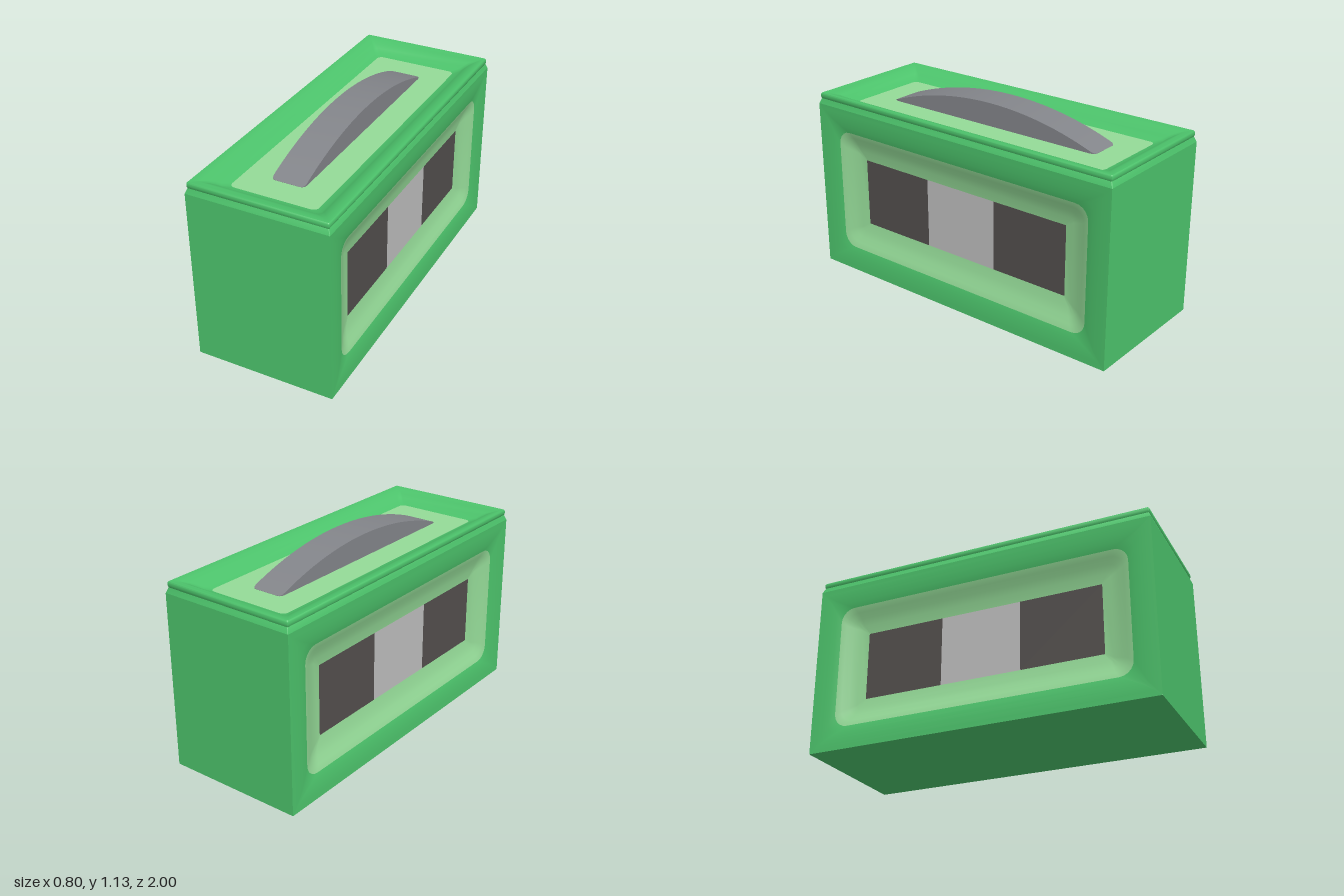
import * as THREE from 'three';
import { toCreasedNormals } from 'three/addons/utils/BufferGeometryUtils.js';

const material = (name, color) => {
  const m = new THREE.MeshStandardMaterial({ color });
  m.name = name;
  return m;
};

// Counter-clockwise rounded rectangle as a list of [x, y]
function roundedLoop(halfW, halfH, radius, steps = 5) {
  const r = Math.max(radius, 0.002);
  const points = [];
  const corners = [[1, 1], [-1, 1], [-1, -1], [1, -1]];
  corners.forEach(([sx, sy], c) => {
    for (let i = 0; i <= steps; i++) {
      const a = (c + i / steps) * Math.PI / 2;
      points.push([sx * (halfW - r) + r * Math.cos(a), sy * (halfH - r) + r * Math.sin(a)]);
    }
  });
  return points;
}

// Nested rings facing +z; each ring is [inset, z, corner radius].
// Bands from index `split` on use the second material.
function nestedRings(halfW, halfH, rings, split) {
  const positions = [], index = [];
  let n = 0;
  for (const [inset, z, r] of rings) {
    const loop = roundedLoop(halfW - inset, halfH - inset, r);
    n = loop.length;
    for (const [x, y] of loop) positions.push(x, y, z);
  }
  for (let i = 0; i < rings.length - 1; i++) {
    for (let j = 0; j < n; j++) {
      const a = i * n + j, b = i * n + (j + 1) % n;
      index.push(a, b, b + n, a, b + n, a + n);
    }
  }
  const g = new THREE.BufferGeometry();
  g.setAttribute('position', new THREE.Float32BufferAttribute(positions, 3));
  g.setIndex(index);
  g.addGroup(0, split * n * 6, 0);
  g.addGroup(split * n * 6, index.length - split * n * 6, 1);
  return toCreasedNormals(g, 0.6);
}

export function createModel() {
  const green = material('green', 0x4cc36b);
  const paleGreen = material('pale green', 0x94da97);
  const lightGrey = material('light grey', 0xbebebe);
  const charcoal = material('charcoal', 0x534f4d);
  const handleGrey = material('handle grey', 0x83858a);

  const model = new THREE.Group();
  model.name = 'case';
  const add = (parent, name, geometry, mat) => {
    const mesh = new THREE.Mesh(geometry, mat);
    mesh.name = name;
    parent.add(mesh);
    return mesh;
  };

  // Flat end walls and base
  add(model, 'frontWall', new THREE.PlaneGeometry(0.8, 1).translate(0, 0.5, 1), green);
  add(model, 'backWall', new THREE.PlaneGeometry(0.8, 1).rotateY(Math.PI).translate(0, 0.5, -1), green);
  add(model, 'base', new THREE.PlaneGeometry(0.8, 2).rotateX(Math.PI / 2), green);

  // Dished long sides with a three-part panel at the bottom of each dish
  const depth = 0.066;
  const dish = [
    [0, 0, 0], [0.03, -0.001, 0.005], [0.07, -0.004, 0.02], [0.105, -0.009, 0.05],
    [0.138, -0.017, 0.08], [0.17, -0.029, 0.07], [0.205, -0.045, 0.05],
    [0.25, -0.058, 0.02], [0.3, -depth, 0],
  ];
  for (const side of [1, -1]) {
    const group = new THREE.Group();
    group.name = side > 0 ? 'leftSide' : 'rightSide';
    group.position.set(side * 0.4, 0.5, 0);
    group.rotation.y = side * Math.PI / 2;
    add(group, 'dishedWall', nestedRings(1, 0.5, dish, 4), [green, paleGreen]);
    const width = 1.4 / 3;
    for (const k of [-1, 0, 1]) {
      add(group, k ? 'darkPanel' : 'centrePanel',
        new THREE.PlaneGeometry(width, 0.4).translate(k * width, 0, -depth), k ? charcoal : lightGrey);
    }
    model.add(group);
  }

  // Lid: grooved neck, rounded lip and slope down to the floor
  const floorY = 1.002;
  const lid = [
    [0, 1.0, 0], [0.011, 1.03, 0.004], [0.008, 1.036, 0.006], [0.007, 1.045, 0.006],
    [0.008, 1.056, 0.006], [0.012, 1.062, 0.006], [0.02, 1.062, 0.006], [0.05, 1.055, 0.01],
    [0.08, 1.042, 0.02], [0.1, 1.027, 0.03], [0.12, 1.013, 0.03], [0.155, floorY, 0.03],
  ];
  add(model, 'lidRim', nestedRings(0.4, 1, lid, lid.length - 1).rotateX(-Math.PI / 2), [green, paleGreen]);
  const floorShape = new THREE.Shape(
    roundedLoop(0.245, 0.845, 0.03).map(([x, y]) => new THREE.Vector2(x, y)));
  add(model, 'lidFloor',
    new THREE.ShapeGeometry(floorShape).rotateX(-Math.PI / 2).translate(0, floorY, 0), paleGreen);

  // Solid arched handle with softened end corners
  const halfL = 0.695, halfW = 0.094, rise = 0.13, corner = 0.025;
  const radius = (halfL ** 2 + rise ** 2) / (2 * rise);
  const handle = new THREE.BoxGeometry(2, 1, 2, 1, 1, 32);
  const p = handle.attributes.position;
  for (let i = 0; i < p.count; i++) {
    const z = halfL * Math.sin(p.getZ(i) * Math.PI / 2);
    const e = Math.max(0, corner - (halfL - Math.abs(z)));
    const w = halfW - corner + Math.sqrt(corner ** 2 - Math.min(e, corner) ** 2);
    const top = 1 + rise - radius + Math.sqrt(radius ** 2 - z ** 2);
    p.setXYZ(i, p.getX(i) * w, p.getY(i) > 0 ? top + 0.003 : 1.0, z);
  }
  add(model, 'handle', toCreasedNormals(handle, 0.6), handleGrey);

  return model;
}
